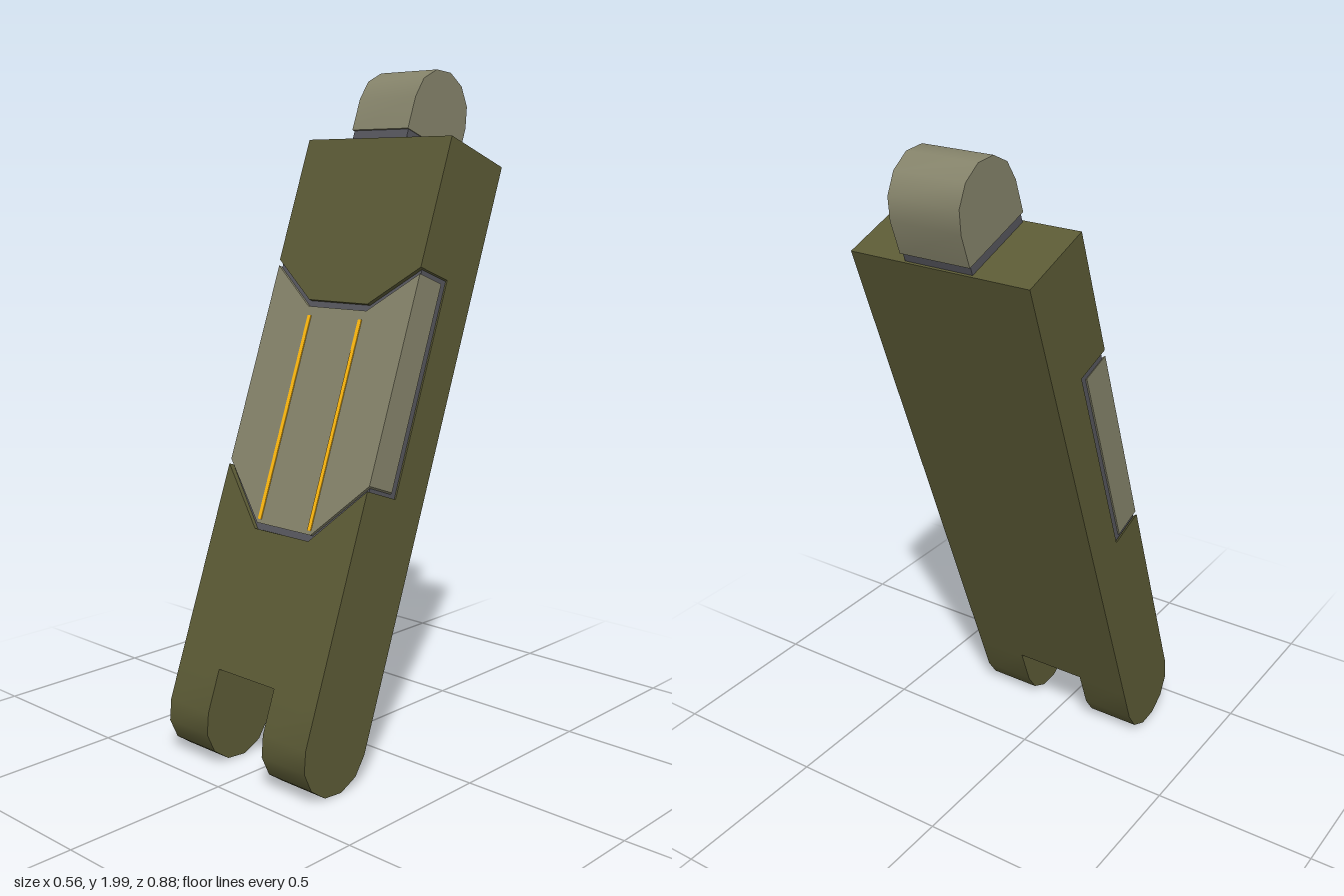
import * as THREE from 'three';
import { toCreasedNormals } from 'three/addons/utils/BufferGeometryUtils.js';

const HALF_W = 0.278, R = 0.125;          // body half width, half thickness
const TOP = 1.736, SLOT = 0.128;          // body top, slot depth
const PIN = 1.86;                         // pin centre along the link

const olive = new THREE.MeshStandardMaterial({ color: 0x5b5a35 });
const khaki = new THREE.MeshStandardMaterial({ color: 0x85836a });
const dark = new THREE.MeshStandardMaterial({ color: 0x55555c });
const yellow = new THREE.MeshStandardMaterial({ color: 0xffb90f });

function add(group, name, geometry, material, x = 0, y = 0, z = 0) {
  const mesh = new THREE.Mesh(geometry, material);
  mesh.name = name;
  mesh.position.set(x, y, z);
  group.add(mesh);
  return mesh;
}

// Round-ended lug: side profile (z, y) swept across x; dir -1 rounds the bottom, +1 the top
function lug(width, flatY, dir) {
  const pts = [new THREE.Vector2(R, flatY)];
  for (let i = 0; i <= 6; i++) {
    const a = (i / 6) * Math.PI;
    pts.push(new THREE.Vector2(R * Math.cos(a), dir * R * Math.sin(a)));
  }
  pts.push(new THREE.Vector2(-R, flatY));
  const g = new THREE.ExtrudeGeometry(new THREE.Shape(pts), { depth: width, bevelEnabled: false });
  g.translate(0, 0, -width / 2).rotateY(-Math.PI / 2);
  return toCreasedNormals(g, 0.6);
}

// Front outline (x, y) extruded from z0 to z1
function slab(points, z0, z1) {
  const shape = new THREE.Shape(points.map(([x, y]) => new THREE.Vector2(x, y)));
  const g = new THREE.ExtrudeGeometry(shape, { depth: z1 - z0, bevelEnabled: false });
  return g.translate(0, 0, z0);
}

// Six-cornered band outlines: upper and lower edges dip towards the middle
const upperEdge = (w, side, mid) => [[w, side], [0.115, mid], [-0.115, mid], [-w, side]];
const lowerEdge = (w, side, mid) => [[-w, side], [-0.108, mid], [0.108, mid], [w, side]];

export function createModel() {
  const model = new THREE.Group();
  model.name = 'link';
  const arm = new THREE.Group();
  arm.name = 'tiltedArm';
  arm.position.set(0, 0.125, 0.315);
  arm.rotation.x = -THREE.MathUtils.degToRad(20);
  model.add(arm);

  // Body: full back half, front half split around the panel recess
  const h = TOP - SLOT;
  add(arm, 'bodyBack', new THREE.BoxGeometry(2 * HALF_W, h, R), olive, 0, SLOT + h / 2, -R / 2);
  add(arm, 'bodyFrontUpper', slab(
    [[HALF_W, TOP], [-HALF_W, TOP], ...upperEdge(HALF_W, 1.353, 1.236).reverse()], 0, R), olive);
  add(arm, 'bodyFrontLower', slab(
    [[-HALF_W, SLOT], [HALF_W, SLOT], ...lowerEdge(HALF_W, 0.715, 0.545).reverse()], 0, R), olive);

  // Fork legs
  const legW = HALF_W - 0.113;
  for (const s of [-1, 1]) {
    add(arm, s > 0 ? 'leftForkLeg' : 'rightForkLeg', lug(legW, SLOT, -1), olive, s * (HALF_W - legW / 2));
  }

  // Dark recess lining, and the panel set into it
  add(arm, 'recessLining', slab(
    [...upperEdge(0.273, 1.353, 1.236), ...lowerEdge(0.273, 0.715, 0.545)], 0, 0.112), dark);
  add(arm, 'panel', slab(
    [...upperEdge(HALF_W, 1.335, 1.217), ...lowerEdge(HALF_W, 0.73, 0.563)], 0.022, 0.122), khaki);

  // Yellow stripes
  for (const s of [-1, 1]) {
    add(arm, s > 0 ? 'leftStripe' : 'rightStripe',
      new THREE.BoxGeometry(0.013, 0.615, 0.01), yellow, s * 0.1, 0.882, 0.12);
  }

  // Neck and rounded pin on top
  add(arm, 'neck', new THREE.BoxGeometry(0.21, 0.05, 0.236), dark, 0, TOP + 0.015, 0);
  add(arm, 'pin', lug(0.217, 1.763 - PIN, 1), khaki, 0, PIN, 0);

  return model;
}
